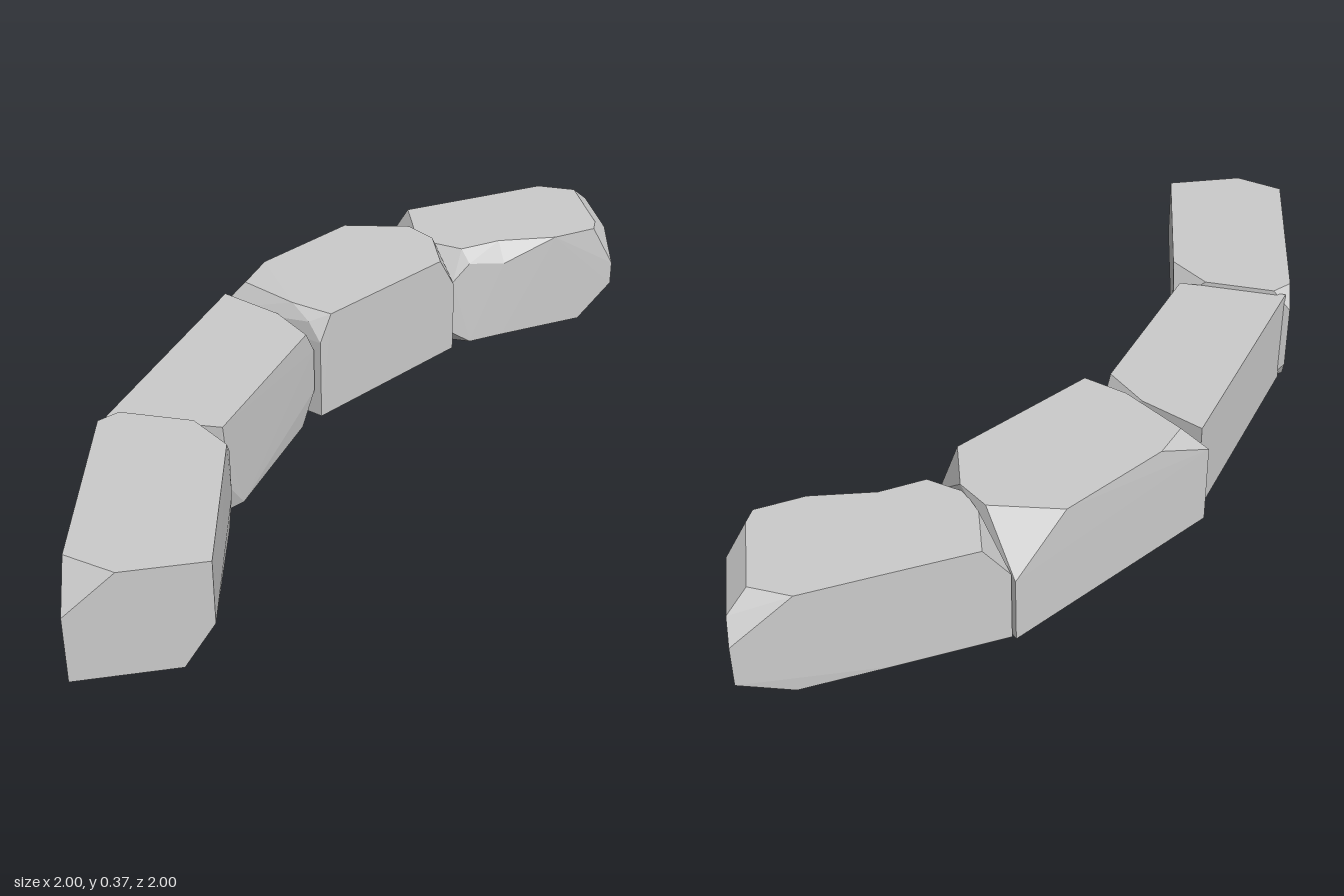
import * as THREE from 'three';
import { ConvexGeometry } from 'three/addons/geometries/ConvexGeometry.js';

const material = new THREE.MeshStandardMaterial({ color: 0xcccccc, flatShading: true });

// One chipped stone: the convex hull of its [x, y, z] corners
function stone(name, corners) {
  const points = corners.map((c) => new THREE.Vector3(...c));
  const mesh = new THREE.Mesh(new ConvexGeometry(points), material);
  mesh.name = name;
  return mesh;
}

export function createModel() {
  const group = new THREE.Group();
  group.name = 'curvedStoneBorder';

  // Front stone, chipped at the top left and bottom right of its end face
  group.add(stone('frontStone', [
    [-1, 0, 1], [-1, 0.22, 1], [-0.85, 0.35, 1], [-0.98, 0.35, 0.9],
    [-0.6, 0.35, 1], [-0.6, 0.14, 1], [-0.69, 0, 1], [-0.645, 0, 0.77],
    [-0.58, 0.35, 0.34], [-0.5, 0.35, 0.48], [-0.485, 0.26, 0.385], [-0.485, 0.1, 0.385], [-0.5, 0, 0.42], [-0.56, 0, 0.35],
    [-0.855, 0.35, 0.29], [-0.79, 0.35, 0.255], [-0.845, 0.28, 0.235], [-0.845, 0.06, 0.235], [-0.85, 0, 0.27], [-0.8, 0, 0.25],
  ]));

  // Second stone
  group.add(stone('secondStone', [
    [-0.83, 0, 0.25], [-0.83, 0.335, 0.25],
    [-0.5, 0.335, 0.37], [-0.485, 0.1, 0.35], [-0.44, 0, 0.29], [-0.54, 0, 0.35],
    [-0.18, 0.335, -0.1], [-0.15, 0.25, -0.14], [-0.15, 0.1, -0.14], [-0.2, 0, -0.08],
    [-0.4, 0.335, -0.41], [-0.4, 0, -0.41], [-0.25, 0.335, -0.25], [-0.25, 0, -0.25],
  ]));

  // Third stone, the tallest, with softened ends
  group.add(stone('thirdStone', [
    [-0.42, 0, -0.43], [-0.42, 0.27, -0.43], [-0.33, 0.36, -0.43], [-0.25, 0.37, -0.54], [-0.2, 0.37, -0.25],
    [-0.13, 0, -0.13], [-0.13, 0.28, -0.13], [-0.16, 0.34, -0.17], [-0.09, 0.37, -0.155],
    [0.06, 0.37, -0.75], [0.28, 0.37, -0.7], [0.22, 0.22, -0.86], [0.22, 0, -0.86],
    [0.34, 0.37, -0.6], [0.33, 0.37, -0.43], [0.39, 0.25, -0.47], [0.39, 0, -0.47],
  ]));

  // End stone, in two halves that meet at the dip of its chipped front edge
  const seam = [
    [0.57, 0, -0.915], [0.57, 0.35, -0.915], [0.57, 0.35, -0.575], [0.58, 0.285, -0.527], [0.58, 0, -0.527],
  ];
  const endStone = new THREE.Group();
  endStone.name = 'endStone';
  endStone.add(stone('endStoneInner', [
    ...seam,
    [0.31, 0.35, -0.865], [0.3, 0.35, -0.7], [0.23, 0.24, -0.85], [0.23, 0, -0.85],
    [0.33, 0.35, -0.61], [0.43, 0.35, -0.54], [0.45, 0.31, -0.502],
    [0.39, 0.25, -0.49], [0.39, 0.05, -0.49], [0.46, 0, -0.5], [0.37, 0, -0.54],
  ]));
  endStone.add(stone('endStoneOuter', [
    ...seam,
    [0.77, 0.35, -0.563], [0.92, 0.35, -0.6], [0.94, 0.35, -0.65],
    [0.94, 0.35, -0.91], [0.82, 0.35, -0.964],
    [1, 0.29, -0.72], [1, 0.29, -0.95], [1, 0.22, -1], [1, 0.08, -1],
    [1, 0.2, -0.61], [1, 0.12, -0.61], [0.88, 0, -0.587],
    [0.98, 0, -0.92], [0.84, 0, -0.965],
  ]));
  group.add(endStone);

  return group;
}
